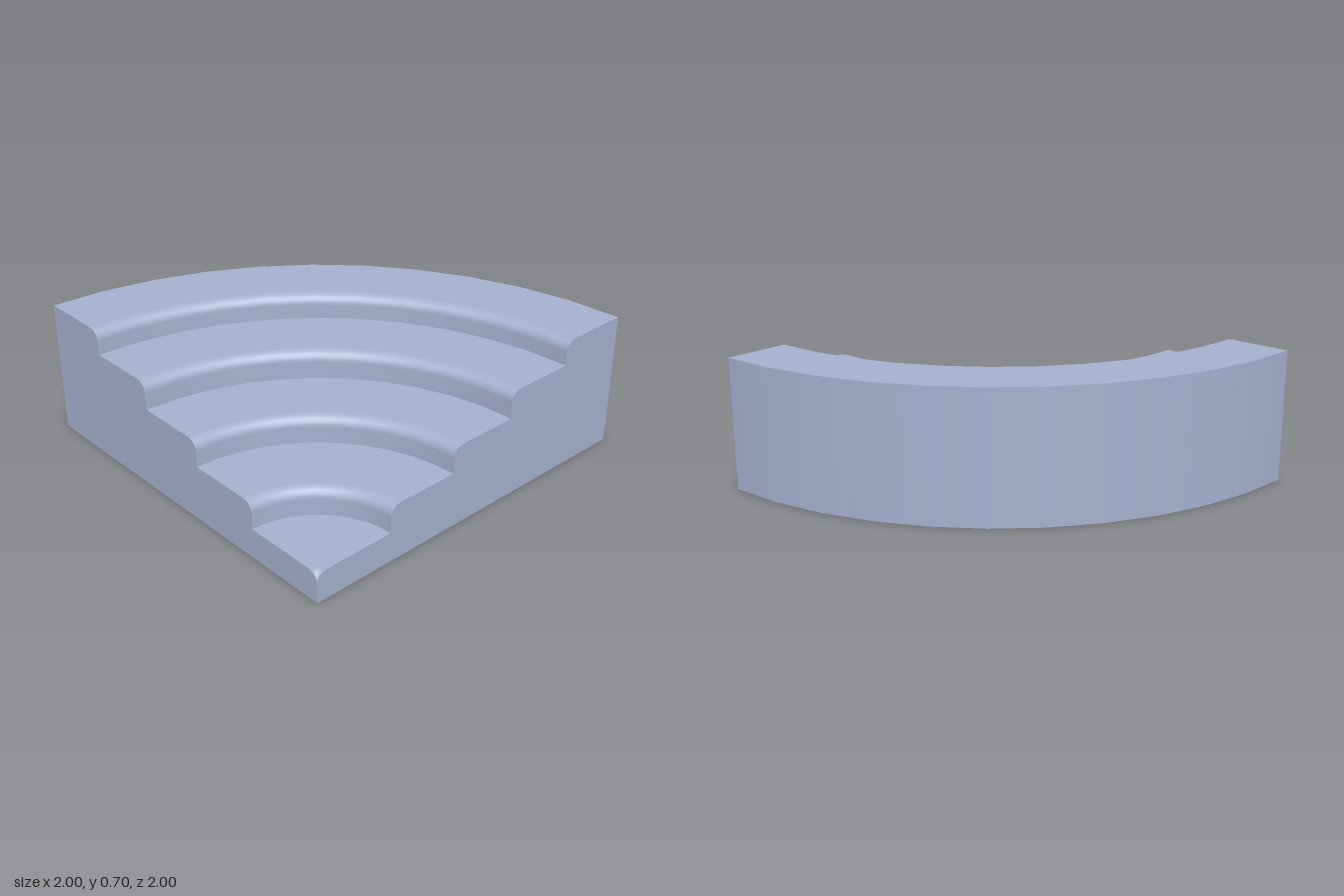
import * as THREE from 'three';

const OUTER = 2;          // radius of the outer wall
const FILLET = 0.055;     // rounding of each step nosing
const SEGMENTS = 11;      // sides of the quarter turn
const RISERS = [0, 0.435, 0.832, 1.218, 1.605];      // inner radius of each step
const TREADS = [0.155, 0.294, 0.432, 0.576, 0.705];  // height of each step

// Profile of one step, from the back of its tread over the nosing to the riser foot
function stepProfile(i) {
  const r = RISERS[i], y = TREADS[i];
  const pts = [new THREE.Vector2(i < 4 ? RISERS[i + 1] : OUTER, y)];
  for (let k = 0; k <= 6; k++) {
    const a = (k / 6) * Math.PI / 2;
    pts.push(new THREE.Vector2(
      Math.max(0, r + FILLET * (1 - Math.sin(a))),
      y - FILLET * (1 - Math.cos(a))
    ));
  }
  if (i > 0) pts.push(new THREE.Vector2(r, TREADS[i - 1]));
  return pts;
}

export function createModel() {
  const group = new THREE.Group();
  group.name = 'quarterRoundSteps';
  const material = new THREE.MeshStandardMaterial({ color: 0xa4b0ce });
  material.name = 'blueGrey';

  // All parts are placed from the common corner of the quarter circle
  const add = (name, geometry) => {
    const mesh = new THREE.Mesh(geometry, material);
    mesh.name = name;
    mesh.position.set(1, 0, 1);
    group.add(mesh);
    return mesh;
  };
  const quarter = (pts) => new THREE.LatheGeometry(pts, SEGMENTS, Math.PI, Math.PI / 2);

  // Curved steps
  const profiles = RISERS.map((_, i) => stepProfile(i));
  profiles.forEach((pts, i) => add('step' + (i + 1), quarter(pts)));

  // Outer wall and underside
  const top = TREADS[4];
  add('outerWall', quarter([new THREE.Vector2(OUTER, 0), new THREE.Vector2(OUTER, top)]));
  add('underside', quarter([new THREE.Vector2(0, 0), new THREE.Vector2(OUTER, 0)]));

  // Flat stepped ends, mirrored about the corner
  const outline = [new THREE.Vector2(0, 0), new THREE.Vector2(OUTER, 0)];
  for (let i = 4; i >= 0; i--) outline.push(...profiles[i]);
  const endFace = (side) => new THREE.ShapeGeometry(
    new THREE.Shape(outline
      .filter((p, i) => i === 0 || p.distanceTo(outline[i - 1]) > 1e-6)
      .map((p) => new THREE.Vector2(side * p.x, p.y)))
  );
  add('frontEnd', endFace(-1));
  add('sideEnd', endFace(1)).rotation.y = Math.PI / 2;

  return group;
}
